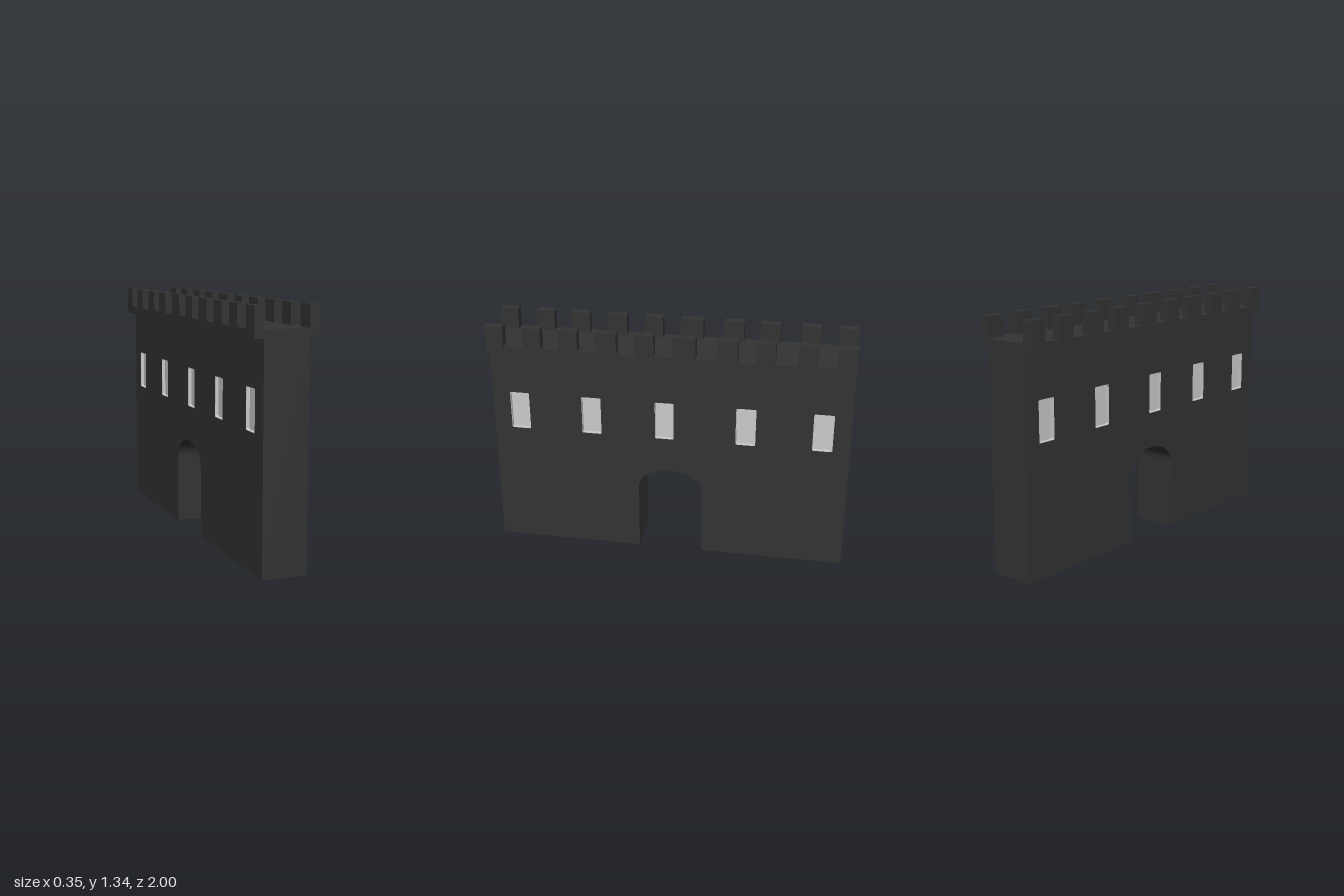
import * as THREE from 'three';

const HALF = 0.12;      // half the wall thickness
const OUTER = 0.17;     // half the battlement width
const RECESS = 0.02;    // window depth below the wall face

// Rounded rectangle with z running from z0 to z1 (shape x is -z)
function windowOutline(target, z0, z1, inset) {
  const l = -z1 + inset, r = -z0 - inset, b = 0.71 + inset, t = 0.93 - inset, c = 0.008;
  target.moveTo(l + c, b);
  target.lineTo(r - c, b);
  target.quadraticCurveTo(r, b, r, b + c);
  target.lineTo(r, t - c);
  target.quadraticCurveTo(r, t, r - c, t);
  target.lineTo(l + c, t);
  target.quadraticCurveTo(l, t, l, t - c);
  target.lineTo(l, b + c);
  target.quadraticCurveTo(l, b, l + c, b);
  return target;
}

// Extrude a side profile across the wall, centred on x = 0
function across(shape, half) {
  const g = new THREE.ExtrudeGeometry(shape, { depth: half * 2, bevelEnabled: false, curveSegments: 10 });
  g.translate(0, 0, -half);
  g.rotateY(Math.PI / 2);
  return g;
}

export function createModel() {
  const model = new THREE.Group();
  model.name = 'castleWall';
  const stone = new THREE.MeshStandardMaterial({ color: 0x333333 });
  stone.name = 'dark stone';
  const glass = new THREE.MeshStandardMaterial({ color: 0xcccccc });
  glass.name = 'pale window';

  const add = (name, geometry, material) => {
    const mesh = new THREE.Mesh(geometry, material);
    mesh.name = name;
    model.add(mesh);
    return mesh;
  };

  // Wall with an arched gateway and window openings
  const wall = new THREE.Shape();
  wall.moveTo(-1, 0);
  wall.lineTo(-0.17, 0);
  wall.lineTo(-0.17, 0.395);
  wall.absellipse(0.0125, 0.395, 0.1825, 0.117, Math.PI, 0, true);
  wall.lineTo(0.195, 0);
  wall.lineTo(1, 0);
  wall.lineTo(1, 1.18);
  wall.lineTo(-1, 1.18);
  wall.closePath();

  const windows = [[0.79, 0.90], [0.38, 0.49], [-0.03, 0.075], [-0.485, -0.375], [-0.905, -0.795]];
  for (const [z0, z1] of windows) {
    wall.holes.push(windowOutline(new THREE.Path(), z0, z1, 0));
    // Recessed panes on both faces, with a thin pale lining around the opening
    add('windowPane', across(windowOutline(new THREE.Shape(), z0, z1, 0.001), HALF - RECESS), glass);
    const lining = windowOutline(new THREE.Shape(), z0, z1, 0);
    lining.holes.push(windowOutline(new THREE.Path(), z0, z1, 0.003));
    add('windowLining', across(lining, HALF - 0.001), glass);
  }
  add('wall', across(wall, HALF), stone);

  // Overhanging walkway slab
  const walkway = add('walkway', new THREE.BoxGeometry(OUTER * 2, 0.042, 2), stone);
  walkway.position.y = 1.2;

  // Merlons along both edges
  const merlons = [[0.90, 1], [0.69, 0.79], [0.487, 0.594], [0.273, 0.385], [0.07, 0.171],
    [-0.155, -0.03], [-0.38, -0.268], [-0.578, -0.47], [-0.798, -0.696], [-1, -0.90]];
  for (const side of [-1, 1]) {
    for (const [z0, z1] of merlons) {
      const m = add('merlon', new THREE.BoxGeometry(0.05, 0.115, z1 - z0), stone);
      m.position.set(side * (OUTER - 0.025), 1.2775, (z0 + z1) / 2);
    }
  }

  // The whole wall stands very slightly askew
  model.rotation.y = -0.0075;
  return model;
}
